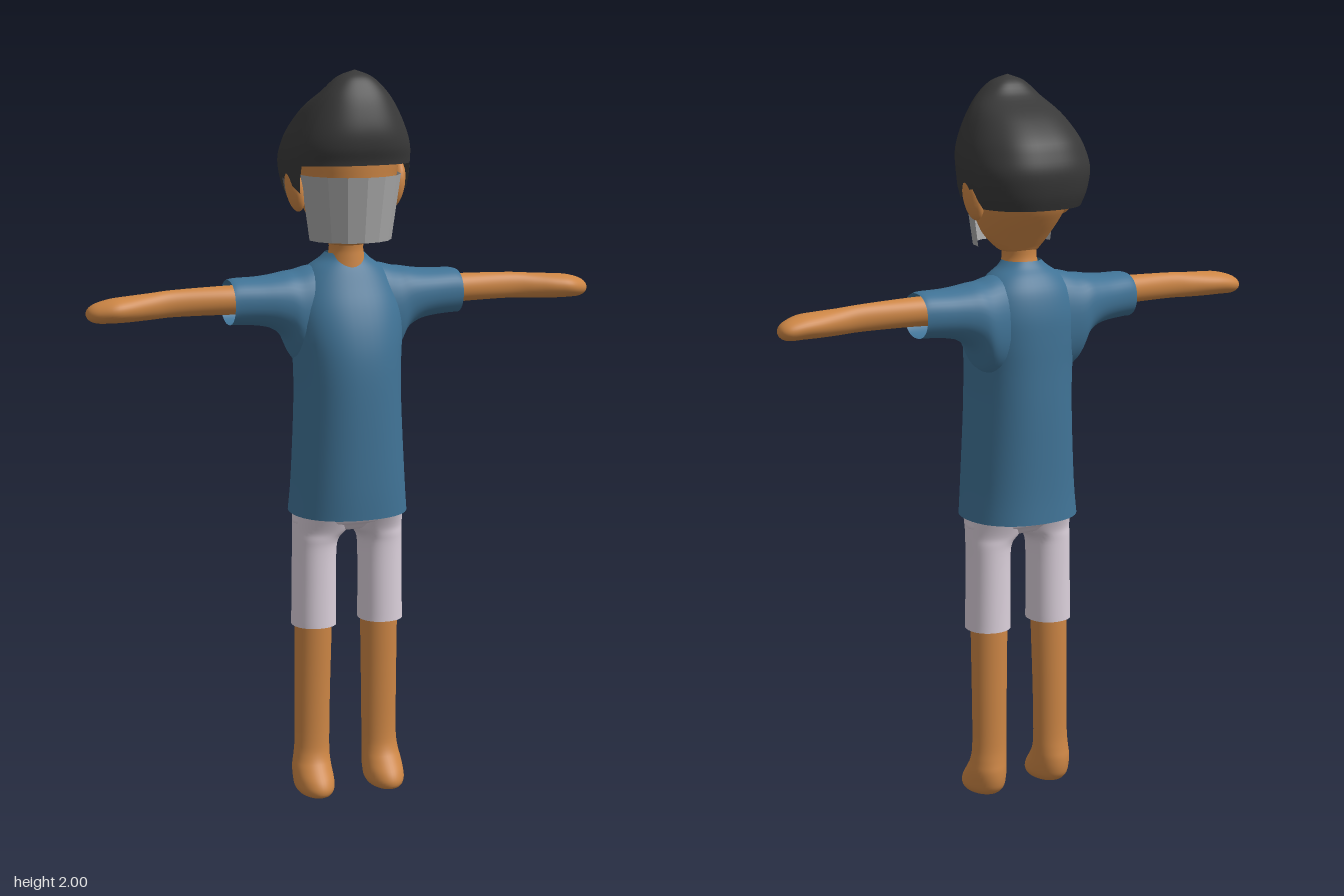
import * as THREE from 'three';

const material = (name, color) => {
  const m = new THREE.MeshStandardMaterial({ color, side: THREE.DoubleSide });
  m.name = name;
  return m;
};

// Catmull-Rom sample of a table of cross-sections at a fractional row index
function sample(rows, k) {
  const i = Math.min(Math.floor(k), rows.length - 2), t = k - i;
  const row = (n) => rows[Math.max(0, Math.min(rows.length - 1, n))];
  const [a, b, c, d] = [row(i - 1), row(i), row(i + 1), row(i + 2)];
  return b.map((p, n) => 0.5 * (2 * p + (c[n] - a[n]) * t
    + (2 * a[n] - 5 * p + 4 * c[n] - d[n]) * t * t
    + (3 * p - a[n] - 3 * c[n] + d[n]) * t * t * t));
}

// Smooth skin through oval sections [along, centreU, centreV, radiusU, radiusV].
// Axis y uses u = x, v = z; axis x uses u = z, v = y. side -1 mirrors in x.
function loft(rows, { axis = 'y', side = 1, power = 2, start = () => 0, segs = 40 } = {}) {
  const steps = (rows.length - 1) * 4, pos = [], index = [];
  const bend = (w) => Math.sign(w) * Math.pow(Math.abs(w), 2 / power);
  for (let i = 0; i <= steps; i++) {
    for (let j = 0; j < segs; j++) {
      const a = (j / segs) * Math.PI * 2, k0 = start(Math.sin(a));
      const [s, cu, cv, ru, rv] = sample(rows, k0 + (rows.length - 1 - k0) * i / steps);
      const u = cu + Math.max(0, ru) * bend(Math.cos(a));
      const v = cv + Math.max(0, rv) * bend(Math.sin(a));
      if (axis === 'y') pos.push(u * side, s, v);
      else pos.push(s * side, v, u);
      if (i === steps) continue;
      const p = i * segs + j, q = i * segs + (j + 1) % segs, r = p + segs, t = q + segs;
      if (side > 0) index.push(p, r, q, q, r, t);
      else index.push(p, q, r, q, t, r);
    }
  }
  const g = new THREE.BufferGeometry();
  g.setAttribute('position', new THREE.Float32BufferAttribute(pos, 3));
  g.setIndex(index);
  g.computeVertexNormals();
  return g;
}

// Hairline as a row index: brow, sideburn, ear gap, nape
function hairline(s) {
  const pts = [[-1, 0], [-0.22, 0.1], [-0.12, 1.3], [0.1, 1.1], [0.36, 0.5], [0.48, 1.95], [1, 2]];
  for (let i = 1; i < pts.length; i++) {
    const [s0, k0] = pts[i - 1], [s1, k1] = pts[i];
    if (s <= s1) return k0 + (k1 - k0) * Math.max(0, s - s0) / (s1 - s0);
  }
  return 2;
}

export function createModel() {
  const group = new THREE.Group();
  const skin = material('skin', 0xcd8645);
  const shirt = material('shirt blue', 0x407396);
  const cloth = material('pale shorts', 0xdbd0db);
  const dark = material('hair black', 0x383838);
  const grey = material('mask grey', 0xa9a9a9);
  grey.flatShading = true;
  const add = (name, geometry, mat) => {
    const m = new THREE.Mesh(geometry, mat);
    m.name = name;
    group.add(m);
    return m;
  };

  // Shirt body, open at the hem
  add('shirtBody', loft([
    [0.805, 0, 0.018, 0.161, 0.148], [0.9, 0, 0.021, 0.153, 0.147],
    [1.1, 0, 0.019, 0.143, 0.146], [1.22, 0, 0.016, 0.144, 0.142],
    [1.3, 0, 0.008, 0.152, 0.134], [1.37, 0, -0.003, 0.153, 0.12],
    [1.43, 0, -0.011, 0.135, 0.098], [1.47, 0, -0.01, 0.105, 0.076],
    [1.495, 0, -0.006, 0.07, 0.057], [1.512, 0, -0.002, 0.052, 0.05],
  ], { power: 2.25, segs: 48 }), shirt);

  // Head with jaw, and neck
  add('head', loft([
    [1.53, 0, 0.012, 0, 0], [1.535, 0, 0.014, 0.045, 0.045], [1.55, 0, 0.02, 0.066, 0.065],
    [1.58, 0, 0.025, 0.09, 0.093], [1.62, 0, 0.018, 0.111, 0.117],
    [1.66, 0, 0.01, 0.125, 0.134], [1.72, 0, 0.003, 0.135, 0.146],
    [1.78, 0, 0.003, 0.146, 0.148], [1.84, 0, 0.01, 0.125, 0.125], [1.89, 0, 0.03, 0, 0],
  ]), skin);
  add('neck', loft([
    [1.45, 0, 0.005, 0.065, 0.06], [1.5, 0, 0.008, 0.051, 0.052],
    [1.53, 0, 0.01, 0.046, 0.049], [1.58, 0, 0.012, 0.055, 0.055],
  ]), skin);

  // Swept-up hair with a raised front
  add('hair', loft([
    [1.66, 0, 0, 0.15, 0.152], [1.7, 0, -0.006, 0.164, 0.16],
    [1.755, 0, -0.01, 0.172, 0.163], [1.8, 0, 0.002, 0.167, 0.163],
    [1.845, 0, 0.014, 0.151, 0.151], [1.9, 0, 0.037, 0.122, 0.113],
    [1.945, 0, 0.067, 0.086, 0.064], [1.982, 0, 0.07, 0.046, 0.036], [2, 0, 0.07, 0, 0],
  ], { power: 2.45, start: hairline, segs: 72 }), dark);

  // Faceted, tapering face mask
  add('faceMask', new THREE.CylinderGeometry(0.138, 0.113, 0.175, 8, 1, true, -Math.PI / 2, Math.PI), grey)
    .position.set(0, 1.6375, 0.033);

  // Hips of the shorts
  add('shortsHips', loft([
    [0.752, 0, 0.016, 0, 0], [0.757, 0, 0.016, 0.1, 0.045], [0.775, 0, 0.017, 0.15, 0.066],
    [0.805, 0, 0.02, 0.154, 0.09], [0.95, 0, 0.02, 0.12, 0.1],
  ], { power: 2.3 }), cloth);

  for (const side of [1, -1]) {
    const label = side > 0 ? 'left' : 'right';

    // Sleeve flaring into the armpit, open at the cuff
    add(label + 'Sleeve', loft([
      [0.05, -0.014, 1.34, 0.085, 0.14], [0.1, -0.015, 1.34, 0.09, 0.138],
      [0.14, -0.017, 1.346, 0.091, 0.122], [0.17, -0.017, 1.374, 0.086, 0.09],
      [0.205, -0.015, 1.385, 0.08, 0.073], [0.25, -0.013, 1.389, 0.073, 0.065],
      [0.31, -0.011, 1.391, 0.066, 0.062], [0.328, -0.01, 1.389, 0.064, 0.06],
    ], { axis: 'x', side, power: 2.2 }), shirt);

    // Forearm and mitten hand
    add(label + 'Arm', loft([
      [0.2, 0.003, 1.395, 0.04, 0.042], [0.33, 0.004, 1.398, 0.036, 0.039],
      [0.48, 0.003, 1.397, 0.027, 0.036], [0.55, 0.006, 1.393, 0.033, 0.035],
      [0.61, 0.011, 1.39, 0.044, 0.034], [0.655, 0.013, 1.388, 0.048, 0.032],
      [0.695, 0.007, 1.383, 0.038, 0.026], [0.715, 0.004, 1.381, 0.022, 0.015],
      [0.722, 0.003, 1.38, 0, 0],
    ], { axis: 'x', side }), skin);

    // Leg running into a rounded foot
    add(label + 'Leg', loft([
      [0.004, 0.104, 0.04, 0, 0], [0.008, 0.104, 0.042, 0.036, 0.054],
      [0.025, 0.104, 0.036, 0.052, 0.073], [0.05, 0.104, 0.027, 0.055, 0.073],
      [0.08, 0.104, 0.014, 0.054, 0.061], [0.11, 0.102, 0.007, 0.051, 0.049],
      [0.16, 0.1, 0.0055, 0.049, 0.043], [0.3, 0.099, 0.0065, 0.05, 0.044],
      [0.5, 0.097, 0.0105, 0.052, 0.048], [0.6, 0.097, 0.012, 0.052, 0.048],
    ], { side }), skin);

    // Shorts leg, curving inward at the crotch
    add(label + 'ShortsLeg', loft([
      [0.49, 0.098, 0.016, 0.061, 0.064], [0.6, 0.097, 0.016, 0.06, 0.063],
      [0.7, 0.096, 0.016, 0.06, 0.063], [0.735, 0.092, 0.017, 0.064, 0.065],
      [0.76, 0.08, 0.018, 0.076, 0.069], [0.8, 0.075, 0.02, 0.08, 0.085],
    ], { side, power: 2.15 }), cloth);

    // Ear
    const ear = add(label + 'Ear', new THREE.SphereGeometry(1, 16, 12), skin);
    ear.scale.set(0.024, 0.064, 0.036);
    ear.position.set(side * 0.144, 1.688, 0.006);
    ear.rotation.z = -side * 0.18;
  }
  return group;
}
